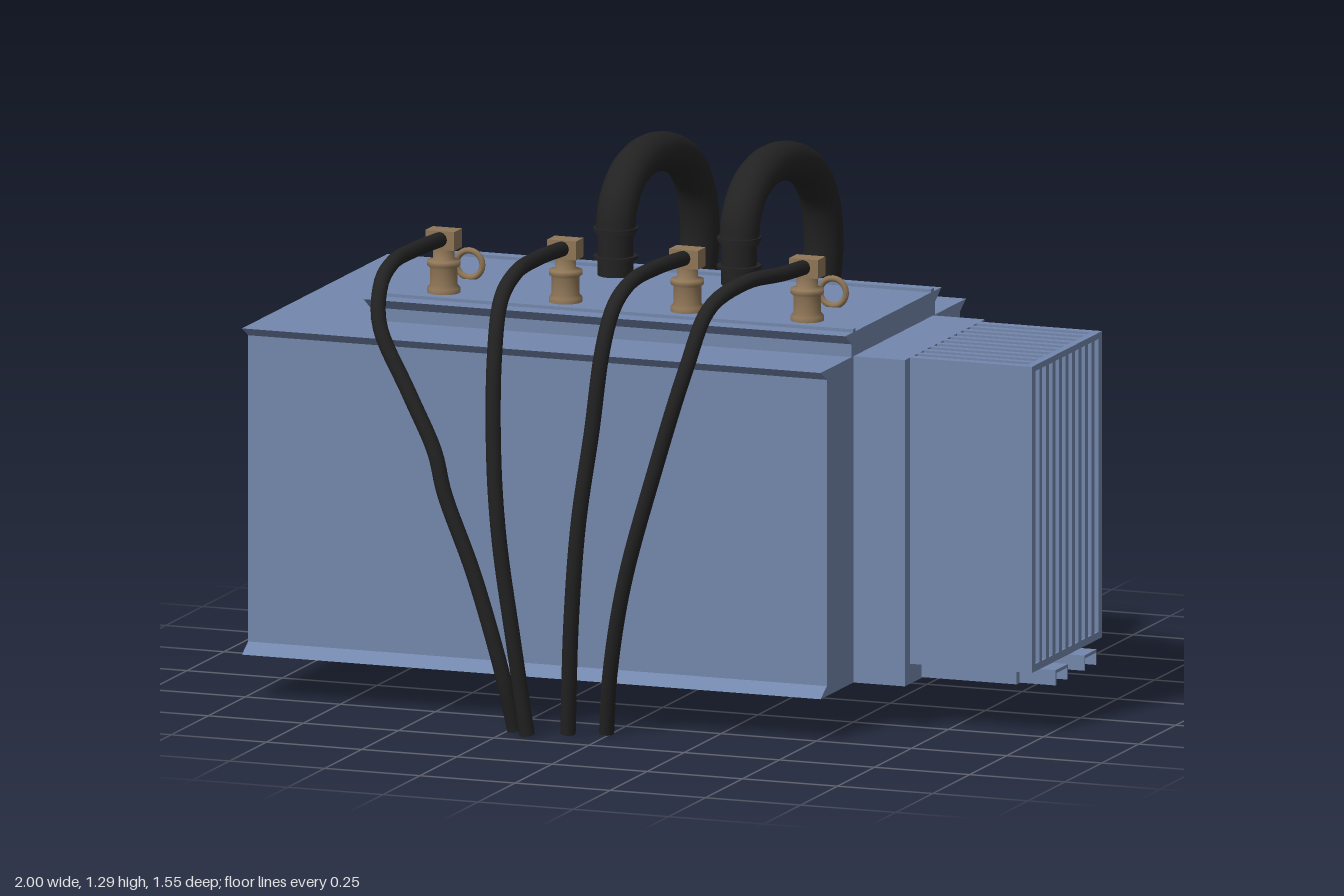
import * as THREE from 'three';

const mat = (name, color, extra) => {
  const m = new THREE.MeshStandardMaterial({ color, ...extra });
  m.name = name;
  return m;
};

export function createModel() {
  const root = new THREE.Group();
  root.name = 'transformer';
  const steel = mat('blueGreySteel', 0x7386ac);
  const rubber = mat('blackRubber', 0x222222);
  const brass = mat('tanBrass', 0x8f7657);
  const MID = 0.03; // z of the tank's centre plane

  const add = (name, geo, m, x = 0, y = 0, z = 0, parent = root) => {
    const mesh = new THREE.Mesh(geo, m);
    mesh.name = name;
    mesh.position.set(x, y, z);
    parent.add(mesh);
    return mesh;
  };
  // box given by its limits on each axis
  const box = (name, m, [x0, x1], [y0, y1], [z0, z1], parent = root) =>
    add(name, new THREE.BoxGeometry(x1 - x0, y1 - y0, z1 - z0), m,
      (x0 + x1) / 2, (y0 + y1) / 2, (z0 + z1) / 2, parent);
  // (-z, y) outline swept along x
  const sweepX = (name, shape, x0, x1, z = 0) => {
    const geo = new THREE.ExtrudeGeometry(shape, { depth: x1 - x0, bevelEnabled: false });
    geo.rotateY(Math.PI / 2);
    return add(name, geo, steel, x0, 0, z);
  };
  // outline mirrored about the centre plane from its half, listed bottom to top
  const mirrored = half => new THREE.Shape([
    ...half.map(([u, v]) => new THREE.Vector2(u, v)),
    ...half.map(([u, v]) => new THREE.Vector2(-u, v)).reverse(),
  ]);
  const rect = (u0, u1, v0, v1, T = THREE.Shape) => new T([
    new THREE.Vector2(u0, v0), new THREE.Vector2(u1, v0),
    new THREE.Vector2(u1, v1), new THREE.Vector2(u0, v1)]);

  // tank and lid with sharp flared lips
  sweepX('tank', mirrored([[0.492, 0.115], [0.45, 0.14], [0.45, 0.905], [0.492, 0.93]]), -1, 0.52, MID);
  sweepX('lid', mirrored([[0.282, 0.93], [0.282, 0.962], [0.325, 0.99]]), -0.745, 0.52, MID);
  for (const s of [-1, 1]) {
    const z = MID + s * 0.265;
    box('lidRib', steel, [-0.745, 0.52], [0.988, 0.998], [z - 0.009, z + 0.009]);
  }

  // neck between tank and radiator
  box('neck', steel, [0.52, 0.655], [0.115, 0.93], [-0.24, 0.3]);

  // radiator: fins with open gaps, closed by a slotted end plate
  const zc = 0.0275, slots = 10, pitch = 0.0443, gap = 0.025, halfW = 0.2375;
  const plate = rect(-halfW, halfW, 0.165, 0.93);
  let edge = -halfW;
  for (let i = 0; i <= slots; i++) {
    const c = (i - (slots - 1) / 2) * pitch;
    const finEnd = i < slots ? c - gap / 2 : halfW;
    box('radiatorFin', steel, [0.655, 0.956], [0.165, 0.93], [zc + edge, zc + finEnd]);
    if (i < slots) plate.holes.push(rect(c - gap / 2, c + gap / 2, 0.183, 0.915, THREE.Path));
    edge = c + gap / 2;
  }
  sweepX('radiatorEndPlate', plate, 0.955, 0.975, zc);

  // radiator base, drain plug and channel feet
  box('radiatorBase', steel, [0.655, 0.905], [0.117, 0.166], [-0.13, 0.187]);
  add('drainPlug', new THREE.CylinderGeometry(0.012, 0.012, 0.02, 8).rotateZ(Math.PI / 2),
    rubber, 0.912, 0.132, MID);
  for (const s of [-1, 1]) {
    const foot = new THREE.Group();
    foot.name = 'channelFoot';
    root.add(foot);
    const z = MID + s * 0.097;
    box('footTop', steel, [0.9, 1], [0.148, 0.156], [z - 0.042, z + 0.042], foot);
    for (const t of [-1, 1])
      box('footSide', steel, [0.9, 1], [0.118, 0.15], [z + t * 0.039 - 0.003, z + t * 0.039 + 0.003], foot);
  }

  // small bushings in a row along the front of the lid
  const bushXs = [-0.595, -0.275, 0.045, 0.36];
  const bushProfile = [[0.041, 0], [0.041, 0.012], [0.034, 0.02], [0.034, 0.062], [0.041, 0.068],
    [0.041, 0.08], [0.026, 0.084], [0.026, 0.112]].map(p => new THREE.Vector2(...p));
  for (const x of bushXs) {
    add('bushing', new THREE.LatheGeometry(bushProfile, 20), brass, x, 0.99, 0.2);
    box('bushingTerminal', brass, [x - 0.038, x + 0.038], [1.1, 1.147], [0.175, 0.227]);
  }

  // lifting eyes
  for (const x of [-0.595, 0.36])
    add('liftingEye', new THREE.TorusGeometry(0.034, 0.008, 8, 24), brass, x, 1.027, 0.026);

  // round hose with capped ends
  const hose = (name, pts, r, sides) => {
    const v = pts.map(p => new THREE.Vector3(...p));
    const curve = new THREE.CatmullRomCurve3(v, false, 'centripetal');
    const g = new THREE.Group();
    g.name = name;
    root.add(g);
    add(name + 'Tube', new THREE.TubeGeometry(curve, 64, r, sides), rubber, 0, 0, 0, g);
    for (const t of [0, 1]) {
      const cap = add(name + 'Cap', new THREE.CircleGeometry(r, sides), rubber, 0, 0, 0, g);
      cap.position.copy(curve.getPointAt(t));
      const dir = curve.getTangentAt(t).multiplyScalar(t ? 1 : -1);
      cap.quaternion.setFromUnitVectors(new THREE.Vector3(0, 0, 1), dir);
    }
  };

  // large hoses arching over the back, each on a ringed socket
  const arch = [[1.09, -0.15], [1.155, -0.163], [1.212, -0.215], [1.243, -0.3], [1.248, -0.4],
    [1.226, -0.52], [1.182, -0.62], [1.11, -0.69], [1, -0.722], [0.85, -0.715], [0.6, -0.688],
    [0.4, -0.667], [0.2, -0.656], [0.03, -0.65]];
  for (const x of [-0.28, 0.045]) {
    hose('largeHose', arch.map(([y, z]) => [x - (y < 0.9 ? 0.008 : 0), y, z]), 0.049, 20);
    add('hoseSocket', new THREE.CylinderGeometry(0.044, 0.044, 0.12, 20), rubber, x, 1.05, -0.15);
    for (const y of [1.035, 1.105])
      add('socketRing', new THREE.CylinderGeometry(0.055, 0.055, 0.008, 20), rubber, x, y, -0.15);
  }

  // thin cables draped over the front
  const cables = [
    [[-0.595, 1.125, 0.21], [-0.595, 1.133, 0.4], [-0.595, 1.128, 0.55], [-0.59, 1.09, 0.64],
      [-0.575, 1, 0.685], [-0.49, 0.84, 0.705], [-0.42, 0.7, 0.712], [-0.395, 0.6, 0.712],
      [-0.32, 0.4, 0.705], [-0.25, 0.15, 0.69], [-0.23, 0.01, 0.66]],
    [[-0.275, 1.125, 0.21], [-0.272, 1.135, 0.4], [-0.268, 1.128, 0.56], [-0.265, 1.08, 0.665],
      [-0.26, 0.95, 0.72], [-0.25, 0.7, 0.75], [-0.235, 0.5, 0.752], [-0.205, 0.25, 0.735],
      [-0.18, 0.01, 0.705]],
    [[0.045, 1.125, 0.21], [0.04, 1.135, 0.4], [0.03, 1.125, 0.55], [0.022, 1.08, 0.64],
      [0.01, 0.98, 0.685], [-0.012, 0.78, 0.7], [-0.045, 0.55, 0.705], [-0.07, 0.3, 0.69],
      [-0.092, 0.01, 0.655]],
    [[0.36, 1.125, 0.21], [0.35, 1.132, 0.35], [0.31, 1.135, 0.5], [0.265, 1.09, 0.62],
      [0.23, 0.95, 0.685], [0.155, 0.7, 0.698], [0.065, 0.4, 0.68], [0.015, 0.17, 0.645],
      [-0.008, 0.01, 0.61]],
  ];
  for (const pts of cables) hose('thinCable', pts, 0.019, 12);

  return root;
}
